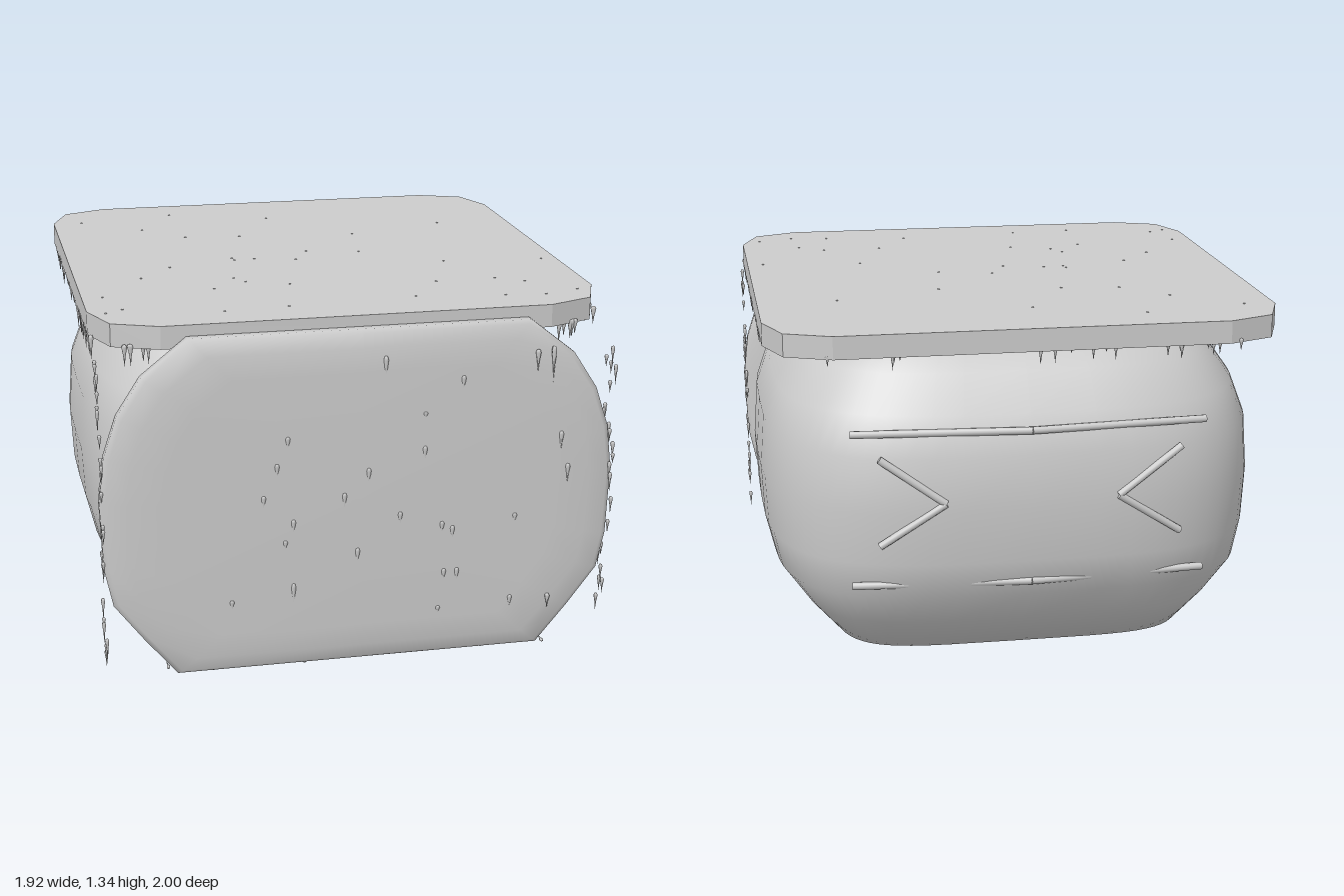
import * as THREE from 'three';
import { mergeGeometries } from 'three/addons/utils/BufferGeometryUtils.js';

const material = new THREE.MeshStandardMaterial({ color: 0xcccccc });

function part(name, geometry) {
  const mesh = new THREE.Mesh(geometry, material);
  mesh.name = name;
  return mesh;
}

// Small seeded generator for the scattered icicles
function makeRandom(seed) {
  return () => (seed = (seed * 16807) % 2147483647) / 2147483647;
}

// Smooth closed skin over rings of points, capped at both ends
function loft(rings) {
  const n = rings[0].length, positions = [], index = [];
  rings.flat().forEach(p => positions.push(p.x, p.y, p.z));
  for (let i = 0; i < rings.length - 1; i++) {
    for (let j = 0; j < n; j++) {
      const a = i * n + j, b = i * n + (j + 1) % n;
      index.push(a, b, b + n, a, b + n, a + n);
    }
  }
  [0, rings.length - 1].forEach((r, end) => {
    const c = positions.length / 3;
    const mid = rings[r].reduce((s, p) => s.add(p), new THREE.Vector3()).divideScalar(n);
    positions.push(mid.x, mid.y, mid.z);
    for (let j = 0; j < n; j++) {
      const a = r * n + j, b = r * n + (j + 1) % n;
      if (end) index.push(c, a, b); else index.push(c, b, a);
    }
  });
  const g = new THREE.BufferGeometry();
  g.setAttribute('position', new THREE.Float32BufferAttribute(positions, 3));
  g.setIndex(index);
  g.computeVertexNormals();
  return g;
}

// Bulging box body: height, half width, back z, front z, corner squareness
function bodyGeometry() {
  const levels = [
    [0.03, 0.69, -0.72, 0.64, 5], [0.17, 0.81, -0.83, 0.76, 4.4], [0.31, 0.91, -0.94, 0.86, 3.8],
    [0.45, 0.945, -0.975, 0.875, 3.5], [0.65, 0.955, -0.985, 0.88, 3.5], [0.86, 0.94, -0.98, 0.87, 3.5],
    [1.0, 0.89, -0.915, 0.83, 3.6], [1.14, 0.79, -0.83, 0.74, 3.8], [1.26, 0.64, -0.69, 0.62, 4],
  ];
  const n = 64;
  return loft(levels.map(([y, hx, back, front, square]) => {
    const bend = v => Math.sign(v) * Math.abs(v) ** (2 / square);
    return Array.from({ length: n }, (_, j) => {
      const a = j / n * Math.PI * 2;
      return new THREE.Vector3(hx * bend(Math.cos(a)), y,
        (back + front) / 2 - (front - back) / 2 * bend(Math.sin(a)));
    });
  }));
}

// Upright front panel, lens-shaped towards its rim
const panelSide = [[0.69, 0.01], [0.81, 0.155], [0.92, 0.3], [0.95, 0.44], [0.96, 0.7],
  [0.94, 0.87], [0.89, 1.02], [0.8, 1.16], [0.63, 1.295]];
function panelGeometry() {
  const outline = [...panelSide, [0, 1.295],
    ...panelSide.map(([x, y]) => [-x, y]).reverse(), [0, 0.01]];
  const steps = [[0.87, 0.76], [0.882, 0.9], [0.9, 0.98], [0.915, 1],
    [0.948, 1], [0.962, 0.98], [0.976, 0.9], [0.985, 0.76]];
  return loft(steps.map(([z, s]) => outline.map(([x, y]) =>
    new THREE.Vector3(x * s, 0.65 + (y - 0.65) * s, z))));
}

// Flat lid with clipped corners
function lidGeometry() {
  const corner = [[0.955, 0.71], [0.89, 0.885], [0.72, 0.955]];
  const points = [];
  for (const [sx, sz, flip] of [[1, 1, 0], [-1, 1, 1], [-1, -1, 0], [1, -1, 1]]) {
    const c = flip ? [...corner].reverse() : corner;
    c.forEach(([x, z]) => points.push(new THREE.Vector2(sx * x, sz * z + 0.045)));
  }
  const g = new THREE.ExtrudeGeometry(new THREE.Shape(points), { depth: 0.085, bevelEnabled: false });
  return g.rotateX(-Math.PI / 2).translate(0, 1.25, 0);
}

// Rod between two points
function rod(name, from, to) {
  const a = new THREE.Vector3(...from), b = new THREE.Vector3(...to);
  const mesh = part(name, new THREE.CylinderGeometry(0.014, 0.014, a.distanceTo(b), 10));
  mesh.position.copy(a).add(b).multiplyScalar(0.5);
  mesh.quaternion.setFromUnitVectors(new THREE.Vector3(0, 1, 0), b.sub(a).normalize());
  return mesh;
}

// Icicle hanging down from its top point
function icicle(x, y, z, length, radius = 0.011) {
  const profile = [[0, -1], [0.45, -0.5], [1, -0.14], [0.7, -0.03], [0, 0]];
  return new THREE.LatheGeometry(
    profile.map(([r, h]) => new THREE.Vector2(r * radius, h * length)), 6).translate(x, y, z);
}

export function createModel() {
  const model = new THREE.Group();
  model.name = 'frozenBox';
  model.add(part('body', bodyGeometry()), part('frontPanel', panelGeometry()), part('lid', lidGeometry()));

  // Face on the back: two bars bent slightly round the body and a pair of chevron eyes
  const face = new THREE.Group();
  face.name = 'backFace';
  for (const [name, y] of [['upperBar', 0.945], ['lowerBar', 0.365]]) {
    for (const s of [-1, 1]) face.add(rod(name, [0, y, -0.955], [s * 0.66, y, -0.905]));
  }
  for (const s of [-1, 1]) {
    const tip = [s * 0.32, 0.69, -0.978];
    face.add(rod('eyeUpper', [s * 0.56, 0.86, -0.95], tip), rod('eyeLower', [s * 0.56, 0.53, -0.95], tip));
  }
  model.add(face);

  const random = makeRandom(41);
  const between = (a, b) => a + (b - a) * random();

  // Icicles under the lid edges
  const lidIce = [];
  for (const s of [-1, 1]) {
    for (let i = 0; i < 26; i++) {
      lidIce.push(icicle(s * 0.948, 1.265, between(-0.65, 0.75), between(0.04, 0.11)));
    }
    for (let i = 0; i < 5; i++) {
      lidIce.push(icicle(s * between(0.75, 0.85), 1.265, 0.87, between(0.05, 0.09)));
    }
  }
  for (let i = 0; i < 22; i++) lidIce.push(icicle(between(-0.8, 0.8), 1.265, -0.985, between(0.03, 0.07), 0.009));
  model.add(part('lidIcicles', mergeGeometries(lidIce)));

  // Specks of ice just breaking through the lid top
  const specks = [];
  for (let i = 0; i < 34; i++) {
    specks.push(icicle(between(-0.9, 0.9), 1.338, between(-0.9, 0.8), 0.04, 0.006));
  }
  model.add(part('lidSpecks', mergeGeometries(specks)));

  // Drips on the panel face: x, top y, length
  const drips = [[0.08, 1.2, 0.12], [0.37, 1.11, 0.09], [0.65, 1.19, 0.09], [0.71, 1.2, 0.14],
    [0.75, 0.87, 0.09], [0.78, 0.74, 0.08], [0.58, 0.56, 0.06], [0.72, 0.22, 0.06],
    [0.57, 0.23, 0.07], [0.29, 0.21, 0.05], [0.31, 0.36, 0.08], [0.36, 0.36, 0.09],
    [0.3, 0.55, 0.08], [0.34, 0.53, 0.09], [-0.26, 0.35, 0.14], [-0.49, 0.3, 0.06],
    [-0.29, 0.52, 0.06], [-0.26, 0.6, 0.09], [-0.07, 0.69, 0.1], [0.02, 0.78, 0.1],
    [-0.37, 0.7, 0.08], [-0.32, 0.82, 0.09], [-0.28, 0.92, 0.08], [0.23, 0.98, 0.04],
    [0.23, 0.85, 0.09], [0.14, 0.6, 0.08], [-0.02, 0.47, 0.1]];
  model.add(part('panelDrips', mergeGeometries(
    drips.map(([x, y, length]) => icicle(x, y, 0.981, length, 0.01)))));

  // Drips along the panel sides and its lower edge
  const rim = [];
  for (const s of [-1, 1]) {
    for (let i = 0; i < 26; i++) {
      rim.push(icicle(s * 0.952, between(0.12, 1.22), between(0.87, 0.99), between(0.04, 0.09), 0.008));
    }
  }
  for (let i = 0; i < 18; i++) {
    rim.push(icicle(0, 0, 0, 0.06, 0.007).rotateX(Math.PI / 2).translate(between(-0.75, 0.75), 0.008, between(0.89, 0.96)));
  }
  model.add(part('rimDrips', mergeGeometries(rim)));
  return model;
}
